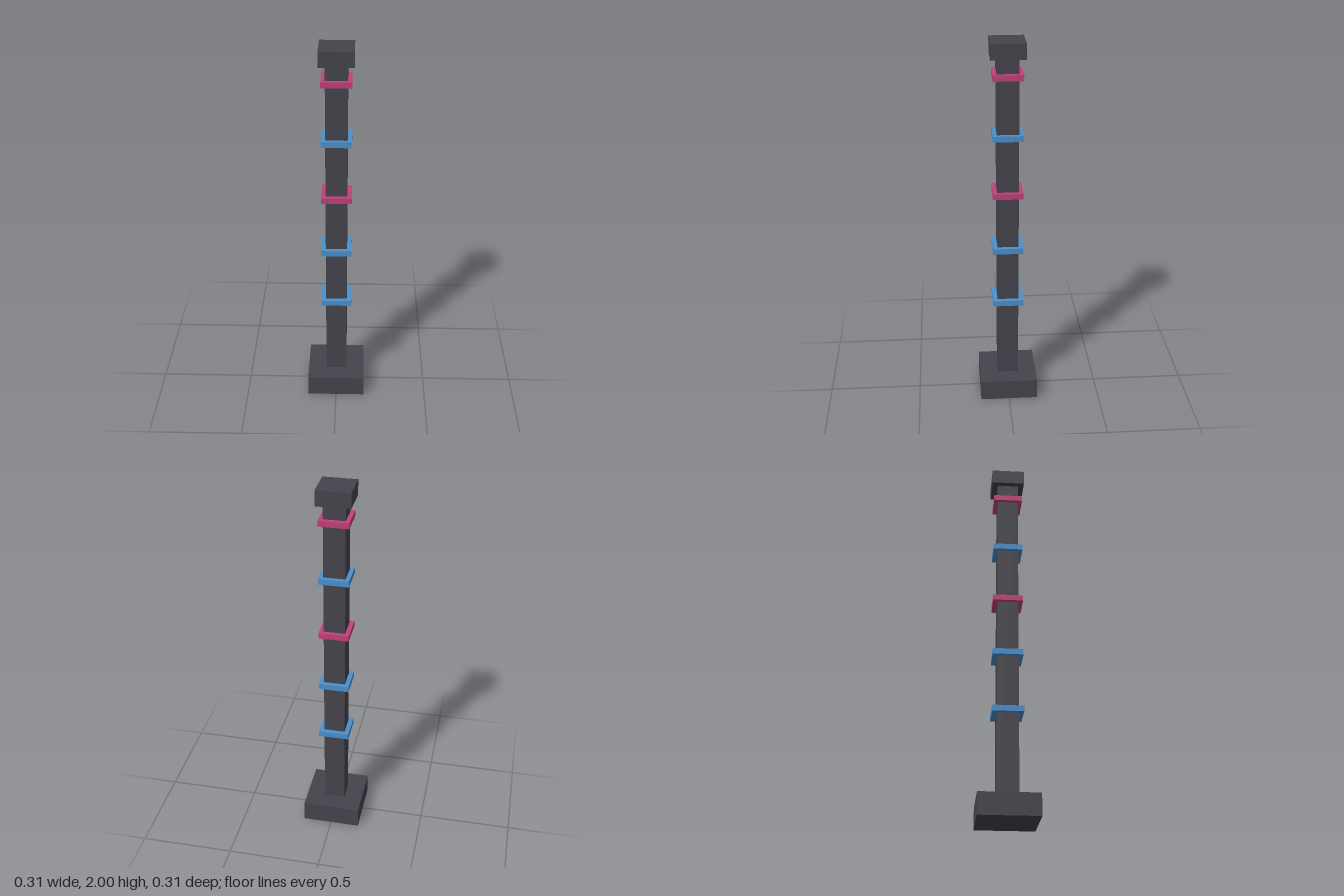
import * as THREE from 'three';

export function createModel() {
  const group = new THREE.Group();
  const material = (name, color) => {
    const m = new THREE.MeshStandardMaterial({ color });
    m.name = name;
    return m;
  };
  const charcoal = material('charcoal', 0x44444c);
  const blue = material('blue', 0x4a90cc);
  const pink = material('pink', 0xc2407a);

  // Square block centred on the column axis
  const block = (name, width, bottom, top, mat) => {
    const mesh = new THREE.Mesh(new THREE.BoxGeometry(width, top - bottom, width), mat);
    mesh.position.y = (bottom + top) / 2;
    mesh.name = name;
    group.add(mesh);
  };

  block('base', 0.312, 0, 0.114, charcoal);
  block('shaft', 0.113, 0.114, 1.92, charcoal);
  block('cap', 0.177, 1.92, 2, charcoal);

  // Evenly spaced bands, slightly narrower towards the top
  [blue, blue, pink, blue, pink].forEach((mat, i) => {
    const y = 0.569 + i * 0.3145;
    block(`band${i + 1}`, 0.163 - i * 0.002, y - 0.0155, y + 0.0155, mat);
  });

  return group;
}
